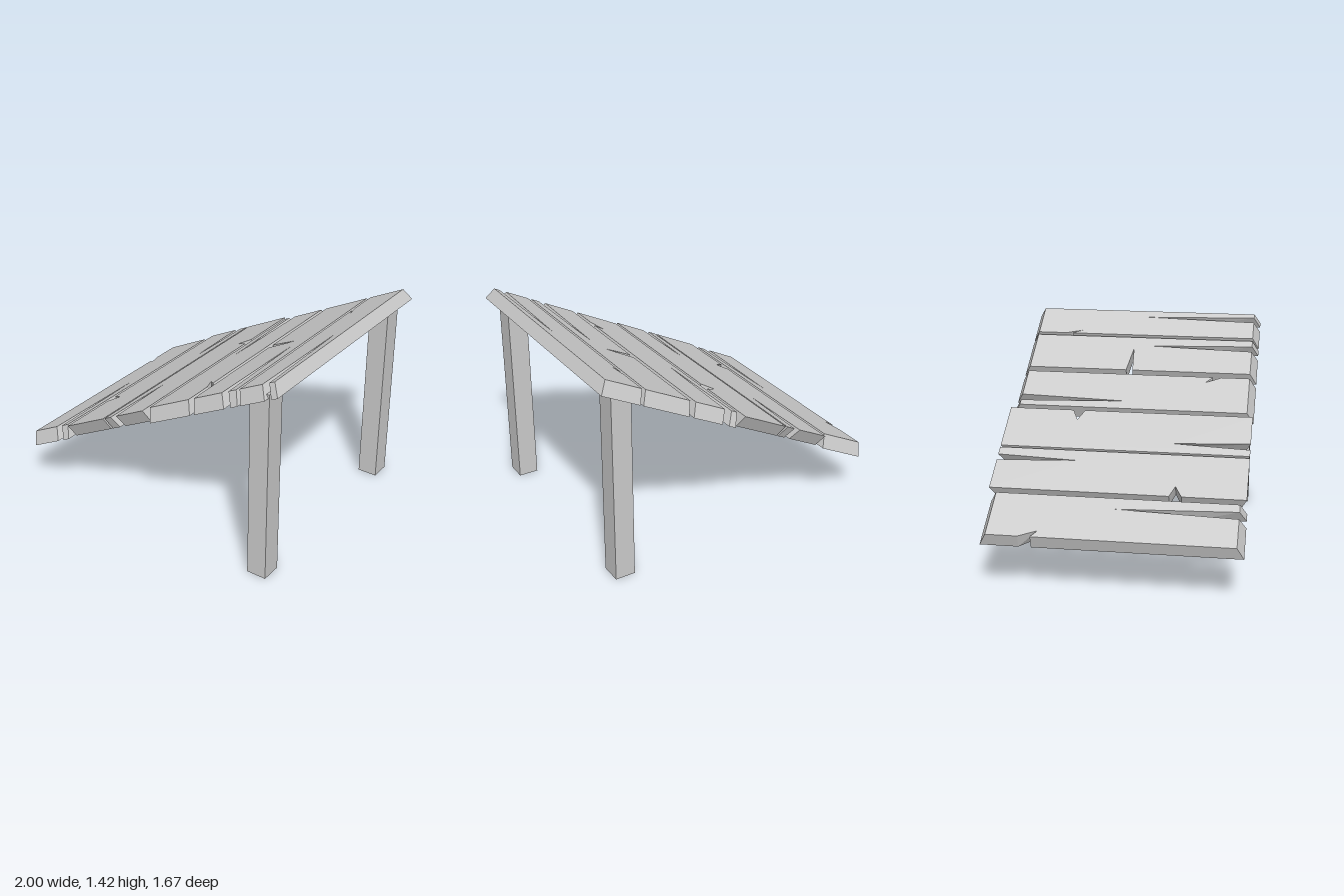
import * as THREE from 'three';

const SLOPE = 0.518;
const topY = x => 0.41 + (x + 1) * SLOPE;
const bottomY = x => 0.325 + (x + 0.97) * SLOPE;

// Outline of one plank face in (x, z), walked left edge, front end, right edge, back end.
// Each cut is three [x, z] points: mouth, tip, mouth.
function outline(x0, x1, zBack, zFront, cuts) {
  return [
    [x0, zBack], ...(cuts.left || []),
    [x0, zFront], ...(cuts.front || []),
    [x1, zFront], ...(cuts.right || []),
    [x1, zBack], ...(cuts.back || []),
  ];
}

// Cuts for one face: 'k' is 0 for the top and 1 for the underside.
function faceCuts(p, k, x0, x1, zBack, zFront) {
  const cuts = {};
  if (p.front) { // long split: centre x, half width, tip z on each face
    const [x, w, ...tip] = p.front, c = x + 0.045 * k;
    cuts.front = [[c - w, zFront], [c, tip[k]], [c + w, zFront]];
  }
  if (p.back) {
    const [x, w, ...tip] = p.back, c = x + 0.045 * k;
    cuts.back = [[c + w, zBack], [c, tip[k]], [c - w, zBack]];
  }
  if (p.left) { // edge chip: mouth z, tip z, mouth z, depth on each face
    const [a, t, b, ...depth] = p.left;
    cuts.left = [[x0, a], [x0 + depth[k], t], [x0, b]];
  }
  if (p.right) {
    const [a, t, b, ...depth] = p.right;
    cuts.right = [[x1, a], [x1 - depth[k], t], [x1, b]];
  }
  return cuts;
}

// Joins a top outline and an underside outline into a solid, flat-faced board.
function plankGeometry(p) {
  const [t0, t1] = p.top, [b0, b1] = p.bottom;
  const [tb, tf] = p.topEnds, [bb, bf] = p.bottomEnds;
  const top = outline(t0, t1, tb, tf, faceCuts(p, 0, t0, t1, tb, tf));
  const low = outline(b0, b1, bb, bf, faceCuts(p, 1, b0, b1, bb, bf));
  const T = top.map(([x, z]) => [x, topY(x), z]);
  const B = low.map(([x, z]) => [x, bottomY(x), z]);
  const pos = [];
  const tri = (a, b, c) => pos.push(...a, ...b, ...c);
  const cap = pts => THREE.ShapeUtils.triangulateShape(
    pts.map(([x, z]) => new THREE.Vector2(x, -z)), []);
  for (const [a, b, c] of cap(top)) tri(T[a], T[b], T[c]);
  for (const [a, b, c] of cap(low)) tri(B[a], B[c], B[b]);
  for (let i = 0; i < T.length; i++) {
    const j = (i + 1) % T.length;
    tri(B[i], B[j], T[j]);
    tri(B[i], T[j], T[i]);
  }
  const g = new THREE.BufferGeometry();
  g.setAttribute('position', new THREE.Float32BufferAttribute(pos, 3));
  g.computeVertexNormals();
  return g;
}

export function createModel() {
  const model = new THREE.Group();
  model.name = 'leanToRoof';
  const material = new THREE.MeshStandardMaterial({ color: 0xcccccc, flatShading: true });

  // Sawn ends slant either outward or inward towards the underside
  const out = { topEnds: [-0.785, 0.785], bottomEnds: [-0.83, 0.83] };
  const inward = { topEnds: [-0.84, 0.825], bottomEnds: [-0.79, 0.785] };

  // Six weathered planks from the low edge to the high edge
  const planks = [
    { top: [-1, -0.69], bottom: [-0.97, -0.65], ...out,
      front: [-0.77, 0.025, 0, 0.45], left: [-0.58, -0.46, -0.5, 0.045, 0.07] },
    { top: [-0.655, -0.335], bottom: [-0.615, -0.3], ...inward,
      back: [-0.415, 0.022, -0.31, -0.05], left: [0.33, 0.365, 0.41, 0.075, 0.085] },
    { top: [-0.32, 0], bottom: [-0.285, 0.035], ...inward,
      front: [-0.245, 0.024, 0.31, 0.12], right: [-0.32, -0.36, -0.4, 0.08, 0.09] },
    { top: [0.03, 0.335], bottom: [0.065, 0.375], ...out,
      back: [0.095, 0.025, -0.06, -0.45], right: [0.59, 0.48, 0.53, 0.05, 0.09] },
    { top: [0.375, 0.685], bottom: [0.41, 0.725], ...out,
      front: [0.607, 0.024, 0.04, 0.33], left: [-0.09, -0.06, -0.045, 0.2, 0.22] },
    { top: [0.71, 0.95], bottom: [0.745, 1], ...out,
      front: [0.89, 0.023, 0, 0.33], left: [-0.58, -0.46, -0.53, 0.03, 0.06] },
  ];
  const roof = new THREE.Group();
  roof.name = 'plankRoof';
  planks.forEach((p, i) => {
    const mesh = new THREE.Mesh(plankGeometry(p), material);
    mesh.name = `plank${i + 1}`;
    roof.add(mesh);
  });
  model.add(roof);

  // Two square posts let into the highest plank
  const height = 1.325;
  for (const side of [1, -1]) {
    const post = new THREE.Mesh(new THREE.BoxGeometry(0.135, height, 0.14), material);
    post.position.set(0.8525, height / 2, side * 0.72);
    post.name = side > 0 ? 'frontPost' : 'backPost';
    model.add(post);
  }
  return model;
}
